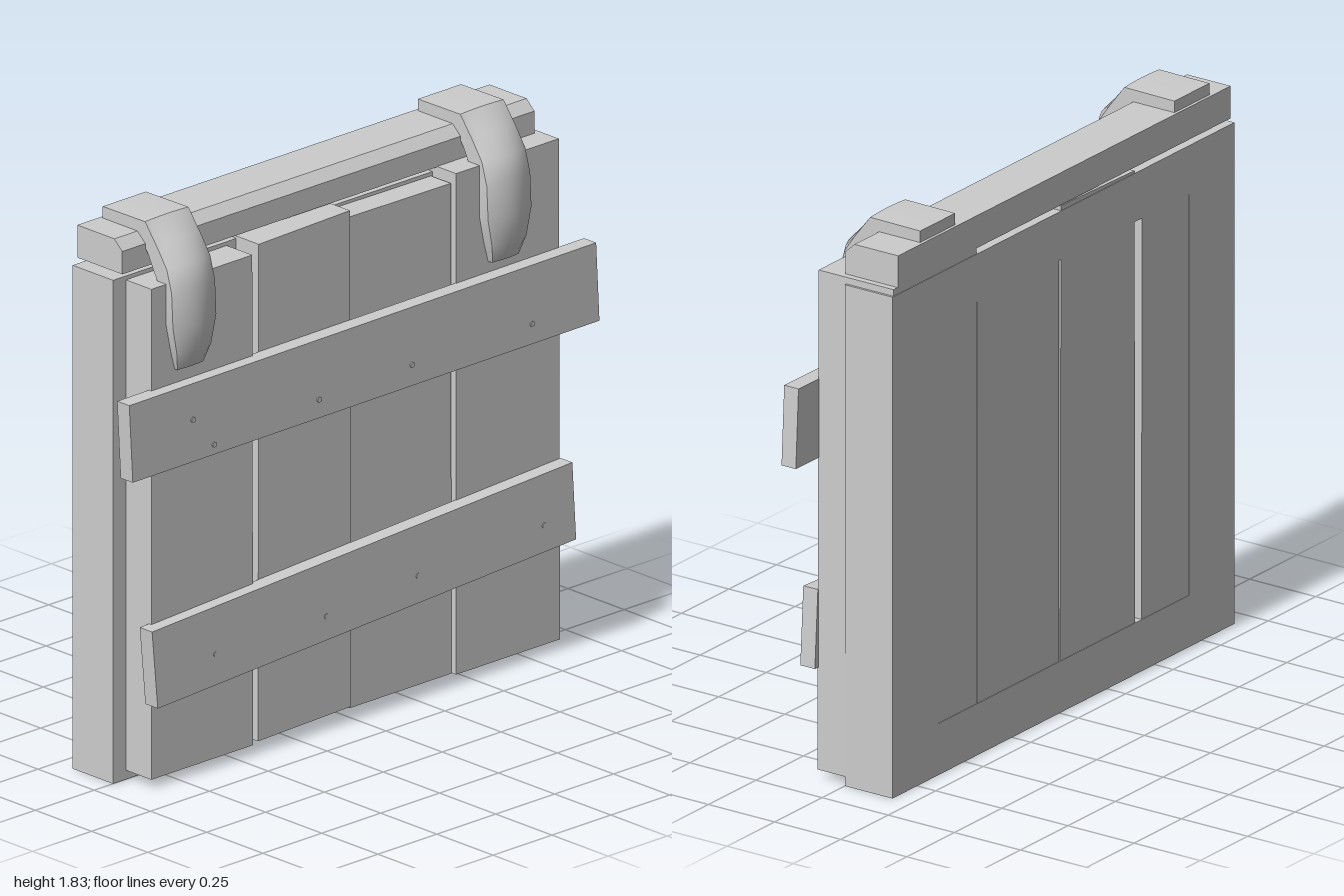
import * as THREE from 'three';
import { toCreasedNormals } from 'three/addons/utils/BufferGeometryUtils.js';

const grey = new THREE.MeshStandardMaterial({ color: 0xcccccc });
grey.name = 'grey';

function add(parent, name, geometry) {
  const mesh = new THREE.Mesh(geometry, grey);
  mesh.name = name;
  parent.add(mesh);
  return mesh;
}

function outline(points) {
  return new THREE.Shape(points.map(([x, y]) => new THREE.Vector2(x, y)));
}

// Flat piece with an outline in the front plane, spanning z0 to z1
function slab(shape, z0, z1) {
  const g = new THREE.ExtrudeGeometry(shape, { depth: z1 - z0, bevelEnabled: false });
  return g.translate(0, 0, z0);
}

// Hooked strap: sections of [outer z, outer y, inner z, inner y, half width, edge drop]
function strapGeometry() {
  const sections = [
    [-0.17, 1.825, -0.17, 1.775, 0.092, 0.0],
    [0.02, 1.83, 0.0, 1.77, 0.092, 0.05],
    [0.085, 1.77, 0.035, 1.72, 0.092, 0.25],
    [0.145, 1.71, 0.06, 1.67, 0.092, 0.35],
    [0.165, 1.63, 0.095, 1.61, 0.092, 0.4],
    [0.168, 1.51, 0.105, 1.51, 0.092, 0.4],
    [0.162, 1.42, 0.1, 1.42, 0.073, 0.35],
    [0.13, 1.36, 0.1, 1.355, 0.055, 0.2],
  ];
  const steps = 8, n = steps + 3;
  const positions = [], index = [];
  for (const [oz, oy, iz, iy, w, drop] of sections) {
    positions.push(-w, iy, iz);
    for (let k = 0; k <= steps; k++) {
      const u = (k / steps) * 2 - 1;
      const t = 1 - drop * u * u;
      positions.push(u * w, iy + (oy - iy) * t, iz + (oz - iz) * t);
    }
    positions.push(w, iy, iz);
  }
  const last = (sections.length - 1) * n;
  for (let i = 0; i < last; i += n) {
    for (let j = 0; j < n; j++) {
      const a = i + j, b = i + ((j + 1) % n);
      index.push(a, a + n, b, b, a + n, b + n);
    }
  }
  for (let j = 1; j < n - 1; j++) {
    index.push(0, j, j + 1, last, last + j + 1, last + j);
  }
  const g = new THREE.BufferGeometry();
  g.setAttribute('position', new THREE.Float32BufferAttribute(positions, 3));
  g.setIndex(index);
  return toCreasedNormals(g, 0.75);
}

export function createModel() {
  const model = new THREE.Group();
  model.name = 'woodenHatch';

  // Deep rectangular frame with an open middle
  const frame = outline([[-0.92, 0.005], [0.88, 0.005], [0.88, 1.66], [-0.92, 1.66]]);
  frame.holes.push(new THREE.Path(
    [[-0.68, 0.175], [-0.68, 1.5], [0.64, 1.5], [0.64, 0.175]].map(([x, y]) => new THREE.Vector2(x, y))));
  add(model, 'frame', slab(frame, -0.18, 0));

  // Four uneven upright planks
  const planks = new THREE.Group();
  planks.name = 'planks';
  model.add(planks);
  [
    [[[-0.865, 0.035], [-0.433, 0.035], [-0.437, 1.647], [-0.865, 1.647]], 0.113],
    [[[-0.4, 0.035], [-0.005, 0.045], [-0.01, 1.677], [-0.397, 1.668]], 0.1],
    [[[0.0, 0.035], [0.433, 0.035], [0.43, 1.647], [0.0, 1.65]], 0.088],
    [[[0.436, 0.035], [0.878, 0.035], [0.872, 1.682], [0.436, 1.682]], 0.105],
  ].forEach(([points, front]) => add(planks, 'plank', slab(outline(points), -0.178, front)));

  // Top rail with its front upper edge cut off
  const rail = slab(outline([[-0.02, 1.68], [0.18, 1.68], [0.18, 1.787], [0.015, 1.787], [-0.02, 1.755]]), -0.9, 0.85);
  add(model, 'topRail', rail.rotateY(Math.PI / 2));

  // Two crooked cross boards
  add(model, 'upperBoard', slab(outline([[-0.985, 1.055], [0.996, 1.065], [0.982, 1.325], [-1, 1.312]]), 0.102, 0.156));
  add(model, 'lowerBoard', slab(outline([[-0.88, 0.285], [0.896, 0.373], [0.88, 0.63], [-0.904, 0.543]]), 0.102, 0.157));

  // Small nail heads in the boards
  const nail = new THREE.CylinderGeometry(0.009, 0.009, 0.006, 8).rotateX(Math.PI / 2);
  [
    [-0.64, 1.09], [-0.195, 1.12], [0.2, 1.13], [0.71, 1.13], [-0.73, 1.195],
    [-0.635, 0.4], [-0.165, 0.4], [0.225, 0.43], [0.76, 0.455],
  ].forEach(([x, y]) => add(model, 'nail', nail).position.set(x, y, 0.157));

  // Pair of hooked straps over the top rail
  const strap = strapGeometry();
  for (const x of [-0.71, 0.628]) add(model, 'strap', strap).position.x = x;

  return model;
}
